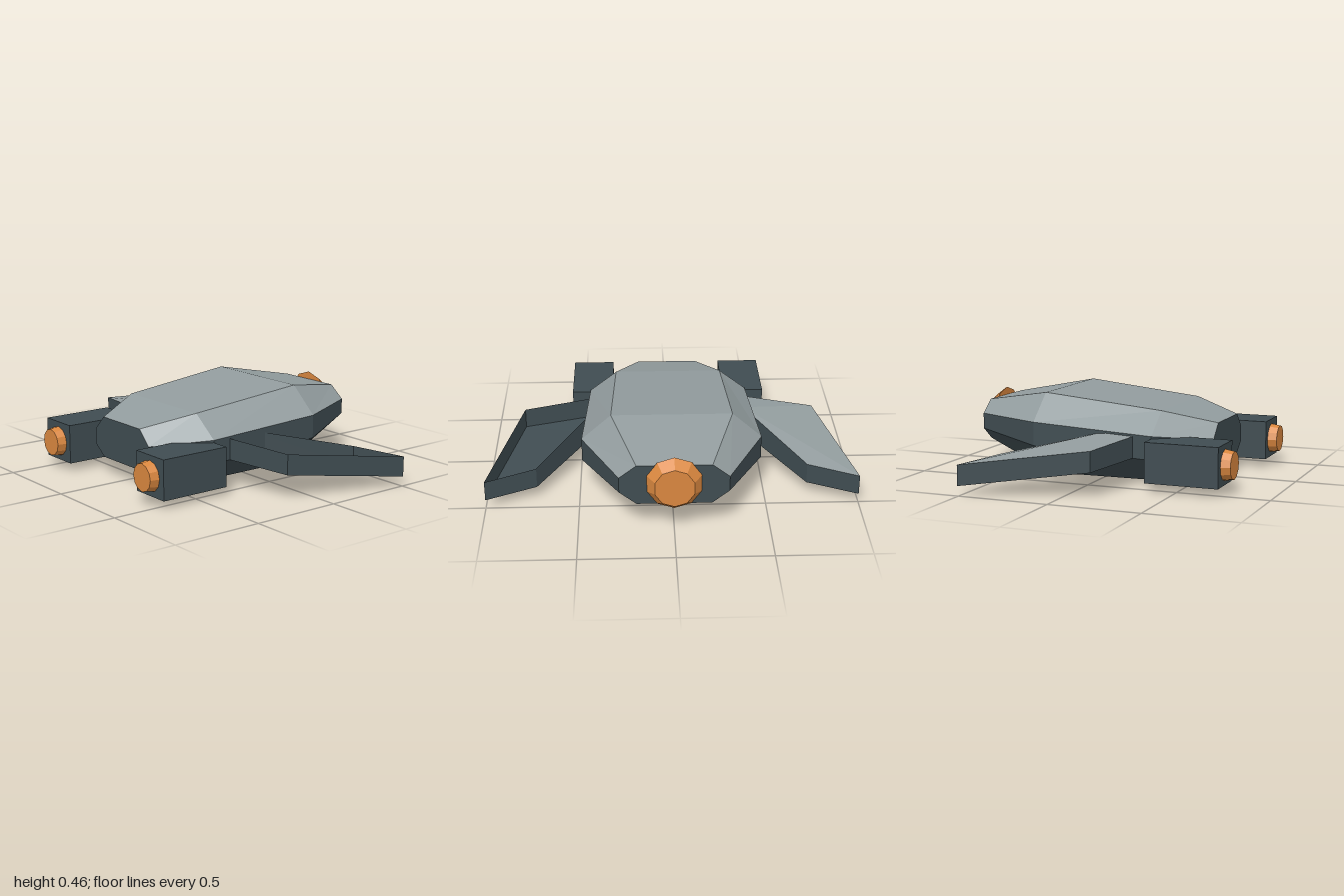
import * as THREE from 'three';

const mat = (name, color, extra = {}) => {
  const m = new THREE.MeshStandardMaterial({ color, flatShading: true, ...extra });
  m.name = name;
  return m;
};

// Flat-faced geometry from convex polygons, each a list of [x, y, z] corners
function facesGeometry(polys) {
  const pos = [];
  for (const p of polys)
    for (let i = 1; i < p.length - 1; i++) pos.push(...p[0], ...p[i], ...p[i + 1]);
  const g = new THREE.BufferGeometry();
  g.setAttribute('position', new THREE.Float32BufferAttribute(pos, 3));
  g.computeVertexNormals();
  return g;
}

export function createModel() {
  const root = new THREE.Group();
  root.name = 'spacecraft';
  const light = mat('light grey', 0x929c9e);
  const dark = mat('dark slate', 0x3f4c51, { side: THREE.DoubleSide });
  const orange = mat('orange', 0xd9873f);

  const add = (name, geo, material, x = 0, y = 0, z = 0, parent = root) => {
    const m = new THREE.Mesh(geo, material);
    m.name = name;
    m.position.set(x, y, z);
    parent.add(m);
    return m;
  };

  // Hull: octagonal sections from nose to tail
  // [z, top half width, side half width, bottom half width, top y, upper side y, lower side y, bottom y]
  const sections = [
    [0.615, 0.17, 0.25, 0.17, 0.325, 0.245, 0.16, 0.10],
    [0.34, 0.30, 0.45, 0.30, 0.393, 0.277, 0.15, 0.015],
    [-0.325, 0.325, 0.485, 0.27, 0.46, 0.318, 0.19, 0.003],
    [-0.735, 0.195, 0.285, 0.195, 0.385, 0.315, 0.23, 0.16],
  ];
  const rings = sections.map(([z, t, w, b, yt, yu, yl, yb]) => [
    [t, yt, z], [-t, yt, z], [-w, yu, z], [-w, yl, z],
    [-b, yb, z], [b, yb, z], [w, yl, z], [w, yu, z],
  ]);
  const roof = [], belly = [];
  for (let i = 0; i < rings.length - 1; i++)
    for (let j = 0; j < 8; j++) {
      const k = (j + 1) % 8, a = rings[i], b = rings[i + 1];
      (j < 2 || j === 7 ? roof : belly).push([a[j], b[j], b[k], a[k]]);
    }
  belly.push(rings[0], [...rings[3]].reverse());
  add('hullRoof', facesGeometry(roof), light);
  add('hullBelly', facesGeometry(belly), dark);

  // Wings: swept slabs; the left one is an open tray, the right one has a light cover
  // [x, z, top y, bottom y]
  const outline = [
    [0.40, 0.25, 0.275, 0.158],
    [0.82, 0.155, 0.25, 0.14],
    [1.0, -0.505, 0.165, 0.055],
    [0.73, -0.40, 0.182, 0.07],
    [0.42, 0.08, 0.285, 0.13],
  ];
  for (const s of [1, -1]) {
    const wing = new THREE.Group();
    wing.name = s > 0 ? 'leftWing' : 'rightWing';
    root.add(wing);
    const top = outline.map(([x, z, t]) => [s * x, t, z]);
    const bottom = outline.map(([x, z, , b]) => [s * x, b, z]);
    const orient = (p) => (s > 0 ? p : [...p].reverse());
    const shell = [orient([...bottom].reverse())];
    for (let i = 0; i < 5; i++) {
      const k = (i + 1) % 5;
      shell.push(orient([bottom[i], bottom[k], top[k], top[i]]));
    }
    add('wingShell', facesGeometry(shell), dark, 0, 0, 0, wing);
    if (s < 0) add('wingCover', facesGeometry([orient(top)]), light, 0, 0, 0, wing);
  }

  // Forward pods with round emitters
  const emitter = new THREE.CylinderGeometry(0.074, 0.083, 0.055, 12).rotateX(Math.PI / 2);
  for (const s of [1, -1]) {
    const pod = new THREE.Group();
    pod.name = s > 0 ? 'leftPod' : 'rightPod';
    root.add(pod);
    add('podBody', new THREE.BoxGeometry(0.235, 0.215, 0.4), dark, s * 0.437, 0.157, 0.54, pod);
    add('podEmitter', emitter, orange, s * 0.437, 0.155, 0.763, pod);
  }

  // Tail engine
  const engine = new THREE.CylinderGeometry(0.15, 0.107, 0.057, 10).rotateX(Math.PI / 2);
  add('tailEngine', engine, orange, 0, 0.28, -0.762);

  return root;
}
